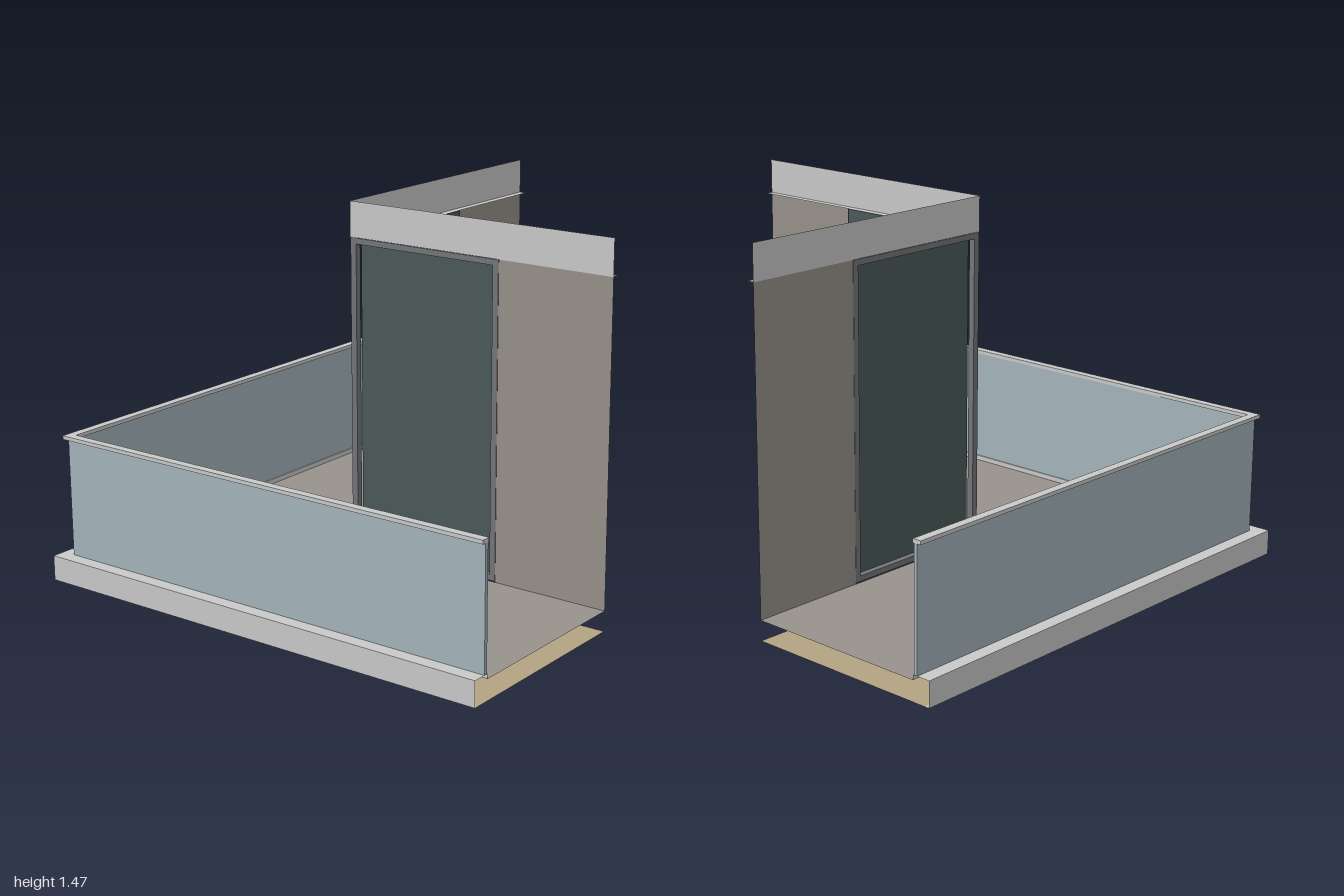
import * as THREE from 'three';

// Corner balcony: two equal wings meeting at the front left corner.
// "d" is the distance outwards: z = d on the front wing, x = -d on the side wing.
export function createModel() {
  const model = new THREE.Group();
  model.name = 'cornerBalcony';

  const paint = (name, color) => {
    const m = new THREE.MeshStandardMaterial({ color, side: THREE.DoubleSide });
    m.name = name;
    return m;
  };
  const trim = paint('light grey trim', 0xc9cac9);
  const stone = paint('warm grey wall and floor', 0x97928a);
  const darkGlass = paint('dark window glass', 0x4a5a59);
  const paleGlass = paint('pale railing glass', 0xa5b5bb);
  const frame = paint('window frame grey', 0x75767a);
  const timber = paint('tan underside', 0xb3a383);

  const add = (name, geometry, material) => {
    const mesh = new THREE.Mesh(geometry, material);
    mesh.name = name;
    model.add(mesh);
  };

  // L-shaped band between distances d0 and d1; flat when y0 equals y1
  const band = (name, d0, d1, y0, y1, material) => {
    const shape = new THREE.Shape([
      [1, -d0], [1, -d1], [-d1, -d1], [-d1, 1], [-d0, 1], [-d0, -d0],
    ].map(([x, y]) => new THREE.Vector2(x, y)));
    const geo = y1 > y0
      ? new THREE.ExtrudeGeometry(shape, { depth: y1 - y0, bevelEnabled: false })
      : new THREE.ShapeGeometry(shape);
    add(name, geo.rotateX(-Math.PI / 2).translate(0, y0, 0), material);
  };

  // Upright sheet at distance d on both wings, from a to b along each wing
  const sheet = (name, d, a, b, y0, y1, material) => {
    const plane = () => new THREE.PlaneGeometry(b - a, y1 - y0);
    const mid = (a + b) / 2, y = (y0 + y1) / 2;
    add(name + 'Front', plane().translate(mid, y, d), material);
    add(name + 'Side', plane().rotateY(-Math.PI / 2).translate(-d, y, -mid), material);
  };

  // Solid bar between d0 and d1 on both wings
  const bar = (name, d0, d1, a, b, y0, y1, material) => {
    const mid = (a + b) / 2, d = (d0 + d1) / 2, y = (y0 + y1) / 2;
    add(name + 'Front', new THREE.BoxGeometry(b - a, y1 - y0, d1 - d0).translate(mid, y, d), material);
    add(name + 'Side', new THREE.BoxGeometry(d1 - d0, y1 - y0, b - a).translate(-d, y, -mid), material);
  };

  // Floor slab, open at its ends
  band('floor', 0.17, 0.925, 0.08, 0.08, stone);
  band('underside', 0.17, 0.98, 0, 0, timber);
  band('undersideLip', 0.98, 1, 0, 0, trim);
  band('rimTop', 0.925, 1, 0.1, 0.1, trim);
  sheet('slabEdge', 1, -1, 1, 0, 0.1, trim);
  sheet('rimInner', 0.925, -0.925, 1, 0.08, 0.1, trim);

  // Glass railing with handrail
  band('railingGlass', 0.93, 0.945, 0.1, 0.572, paleGlass);
  band('handrail', 0.925, 0.96, 0.572, 0.587, trim);

  // Wall panel with the return beside the window
  sheet('wall', 0.17, 0.515, 1, 0.08, 1.33, stone);
  const reveal = new THREE.PlaneGeometry(0.03, 1.25);
  add('revealFront', reveal.clone().rotateY(-Math.PI / 2).translate(0.515, 0.705, 0.155), stone);
  add('revealSide', reveal.clone().translate(-0.155, 0.705, -0.515), stone);

  // Corner window
  sheet('windowGlass', 0.14, -0.14, 0.512, 0.08, 1.33, darkGlass);
  bar('headFrame', 0.143, 0.168, -0.143, 0.512, 1.305, 1.328, frame);
  bar('sillFrame', 0.143, 0.168, -0.143, 0.512, 0.082, 0.105, frame);
  bar('jambFrame', 0.143, 0.168, 0.487, 0.512, 0.105, 1.305, frame);
  add('cornerPost', new THREE.BoxGeometry(0.026, 1.248, 0.026).translate(-0.156, 0.705, 0.156), frame);

  // Fascia above, with its narrow soffit
  sheet('fascia', 0.17, -0.17, 1, 1.33, 1.47, trim);
  band('soffit', 0.14, 0.17, 1.331, 1.331, trim);

  return model;
}
